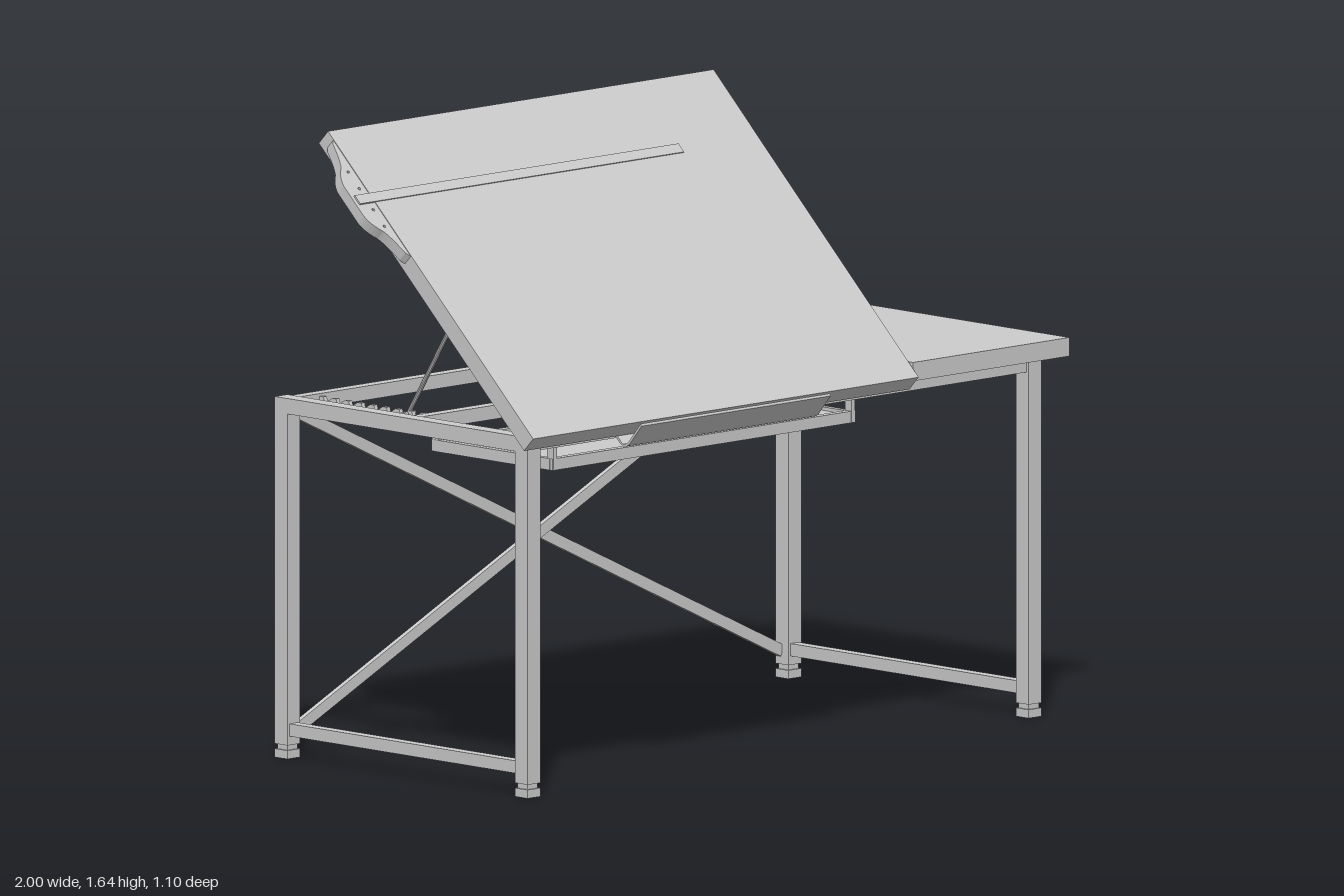
import * as THREE from 'three';

const mat = new THREE.MeshStandardMaterial({ color: 0xcccccc, flatShading: true });
const matThin = new THREE.MeshStandardMaterial({ color: 0xcccccc, side: THREE.DoubleSide });

function add(parent, name, geo, material = mat) {
  const m = new THREE.Mesh(geo, material);
  m.name = name;
  parent.add(m);
  return m;
}

// Box given by its min and max on each axis
function box(parent, name, x0, x1, y0, y1, z0, z1) {
  const m = add(parent, name, new THREE.BoxGeometry(x1 - x0, y1 - y0, z1 - z0));
  m.position.set((x0 + x1) / 2, (y0 + y1) / 2, (z0 + z1) / 2);
  return m;
}

// Extrude a (z, y) profile along x, centred on x
function extrudeX(parent, name, pts, x, width, material = mat) {
  const shape = new THREE.Shape(pts.map(([z, y]) => new THREE.Vector2(-z, y)));
  const g = new THREE.ExtrudeGeometry(shape, { depth: width, bevelEnabled: false });
  g.translate(0, 0, -width / 2);
  g.rotateY(Math.PI / 2);
  const m = add(parent, name, g, material);
  m.position.x = x;
  return m;
}

// Thin rod between two points
function rod(parent, name, a, b, r) {
  const d = b.clone().sub(a);
  const m = add(parent, name, new THREE.CylinderGeometry(r, r, d.length(), 10));
  m.position.copy(a).addScaledVector(d, 0.5);
  m.quaternion.setFromUnitVectors(new THREE.Vector3(0, 1, 0), d.normalize());
  return m;
}

export function createModel() {
  const root = new THREE.Group();
  root.name = 'draftingTable';

  // Legs, feet and side rails
  const frame = new THREE.Group();
  frame.name = 'frame';
  root.add(frame);
  for (const x of [-0.855, 0.932]) {
    for (const z of [0.396, -0.471]) {
      box(frame, 'leg', x - 0.023, x + 0.023, 0.035, 0.927, z - 0.023, z + 0.023);
      box(frame, 'footStem', x - 0.018, x + 0.018, 0.02, 0.036, z - 0.018, z + 0.018);
      box(frame, 'foot', x - 0.023, x + 0.023, 0, 0.022, z - 0.023, z + 0.023);
    }
    box(frame, 'upperSideRail', x - 0.022, x + 0.022, 0.887, 0.927, -0.448, 0.373);
    box(frame, 'lowerSideRail', x - 0.015, x + 0.015, 0.058, 0.09, -0.448, 0.373);
  }

  // Long beams: back, middle, front
  for (const [name, z] of [['backBeam', -0.471], ['middleBeam', -0.03], ['frontBeam', 0.396]]) {
    box(frame, name, -0.833, 0.91, 0.889, 0.925, z - 0.016, z + 0.016);
  }

  // Crossed braces at the back
  for (const s of [-1, 1]) {
    const brace = add(frame, 'crossBrace', new THREE.BoxGeometry(1.93, 0.03, 0.014));
    brace.position.set(0.038, 0.48, -0.471 + s * 0.007);
    brace.rotation.z = s * Math.atan2(0.82, 1.745);
  }

  // Hanging tray under the board
  const tray = new THREE.Group();
  tray.name = 'tray';
  root.add(tray);
  box(tray, 'trayPanel', -0.76, 0.31, 0.838, 0.848, -0.03, 0.375);
  for (const z of [-0.032, 0.385]) box(tray, 'trayRail', -0.765, 0.315, 0.827, 0.857, z - 0.01, z + 0.01);
  for (const x of [-0.758, 0.305]) {
    box(tray, 'traySide', x - 0.008, x + 0.008, 0.827, 0.857, -0.03, 0.385);
    for (const z of [-0.03, 0.385]) box(tray, 'trayHanger', x - 0.006, x + 0.006, 0.83, 0.893, z - 0.012, z + 0.012);
  }

  // Fixed side top
  box(root, 'sideTop', 0.443, 1, 0.927, 0.975, -0.552, 0.474);

  // Tilted board: local y is its normal, local z runs down the slope
  const tilted = new THREE.Group();
  tilted.name = 'tiltedBoard';
  tilted.position.set(0, 1.275, 0.11);
  tilted.rotation.x = 0.761;
  root.add(tilted);
  box(tilted, 'board', -0.935, 0.44, -0.024, 0.024, -0.511, 0.511);

  // Sliding ruler: blade across the board, shaped head past its edge
  const rz = -0.29;
  box(tilted, 'rulerBlade', -0.99, 0.165, 0.018, 0.027, rz - 0.014, rz + 0.014);
  const head = new THREE.Shape();
  head.moveTo(-0.935, -0.193);
  head.lineTo(-0.935, 0.193);
  head.lineTo(-0.945, 0.18);
  head.quadraticCurveTo(-0.957, 0.125, -0.97, 0.105);
  head.quadraticCurveTo(-0.995, 0.08, -1, 0.05);
  head.lineTo(-1, -0.05);
  head.quadraticCurveTo(-0.995, -0.08, -0.97, -0.105);
  head.quadraticCurveTo(-0.957, -0.125, -0.945, -0.18);
  for (const z of [-0.09, -0.035, 0.035, 0.09]) {
    const hole = new THREE.Path();
    hole.absarc(-0.955, z, 0.004, 0, Math.PI * 2);
    head.holes.push(hole);
  }
  const headGeo = new THREE.ExtrudeGeometry(head, { depth: 0.03, bevelEnabled: false, curveSegments: 6 });
  headGeo.rotateX(Math.PI / 2);
  add(tilted, 'rulerHead', headGeo).position.set(0, 0.022, rz);

  // Bent lip along the lower edge of the board
  const lip = [[0.548, 0.94], [0.505, 0.889], [0.495, 0.882], [0.483, 0.88], [0.47, 0.887], [0.418, 0.938]];
  const inner = lip.map(([z, y], i) => [z - (i > 3 ? -0.003 : 0.003), y + 0.006]).reverse();
  extrudeX(root, 'pencilLip', [...lip, ...inner], -0.262, 0.675, matThin);

  // Toothed rail profile, from the middle beam to the back beam
  const teeth = [[-0.455, 0.893], [-0.455, 0.918]];
  const n = 9, pitch = 0.41 / n;
  for (let i = 0; i < n; i++) {
    const z = -0.455 + i * pitch;
    teeth.push([z + pitch * 0.3, 0.918], [z + pitch * 0.4, 0.903], [z + pitch, 0.918]);
  }
  teeth.push([-0.045, 0.893]);

  // Supports: toothed rail, prop and pivot bracket on each side
  for (const x of [-0.75, 0.295]) {
    const support = new THREE.Group();
    support.name = 'support';
    root.add(support);
    extrudeX(support, 'toothedRail', teeth, x, 0.012);
    rod(support, 'prop', new THREE.Vector3(x, 1.255, 0.08), new THREE.Vector3(x, 0.91, -0.14), 0.006);
    rod(support, 'propFoot', new THREE.Vector3(x - 0.022, 0.91, -0.14), new THREE.Vector3(x + 0.022, 0.91, -0.14), 0.006);
    for (const s of [-1, 1]) {
      const c = new THREE.Vector3(x + s * 0.014, 1.26, 0.085);
      rod(support, 'pivotBracket', c.clone().setX(c.x - 0.004), c.clone().setX(c.x + 0.004), 0.028);
    }
    rod(support, 'pivotPin', new THREE.Vector3(x - 0.022, 1.255, 0.08), new THREE.Vector3(x + 0.022, 1.255, 0.08), 0.006);
  }

  return root;
}
